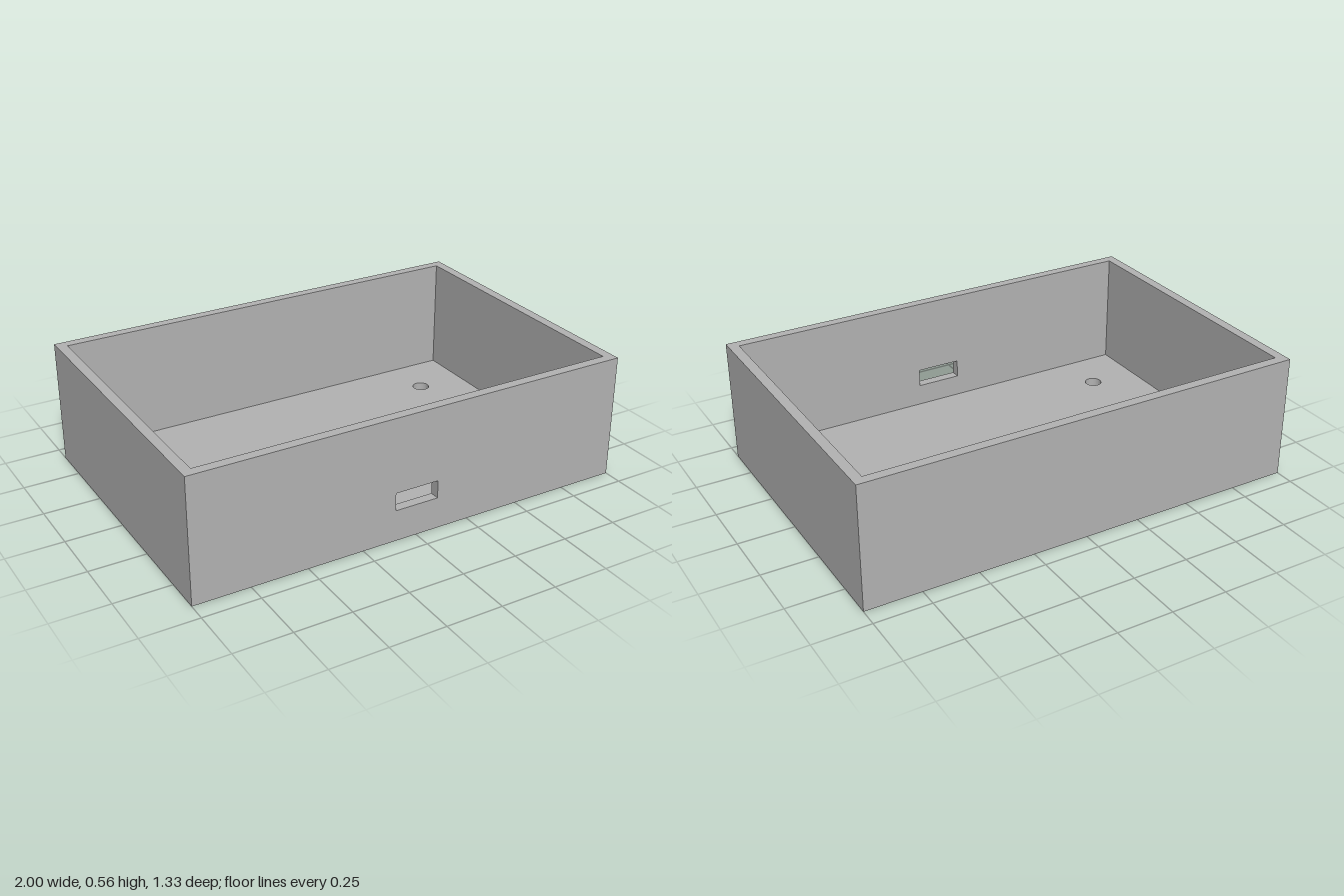
import * as THREE from 'three';

const W = 2, D = 1.333, H = 0.556, T = 0.044;

// Rectangle outline centred on cx, cy
function rect(Type, w, h, cx = 0, cy = 0) {
  const p = new Type();
  p.moveTo(cx - w / 2, cy - h / 2);
  p.lineTo(cx + w / 2, cy - h / 2);
  p.lineTo(cx + w / 2, cy + h / 2);
  p.lineTo(cx - w / 2, cy + h / 2);
  p.closePath();
  return p;
}

export function createModel() {
  const group = new THREE.Group();
  group.name = 'enclosureTray';
  const grey = new THREE.MeshStandardMaterial({ color: 0xb3b3b3 });
  grey.name = 'plain grey';

  function add(name, geometry, x, y, z) {
    const mesh = new THREE.Mesh(geometry, grey);
    mesh.name = name;
    mesh.position.set(x, y, z);
    group.add(mesh);
  }
  const plate = (shape) =>
    new THREE.ExtrudeGeometry(shape, { depth: T, bevelEnabled: false, curveSegments: 32 });

  // Floor with four screw holes
  const floor = rect(THREE.Shape, W, D);
  for (const x of [-0.733, 0.733]) {
    for (const z of [-0.4, 0.4]) {
      const hole = new THREE.Path();
      hole.absarc(x, z, 0.038, 0, Math.PI * 2, true);
      floor.holes.push(hole);
    }
  }
  add('floor', plate(floor).rotateX(-Math.PI / 2), 0, 0, 0);

  // Front wall with the connector slot, and the plain back wall
  const wallH = H - T, midY = (H + T) / 2;
  const front = rect(THREE.Shape, W, wallH, 0, midY);
  front.holes.push(rect(THREE.Path, 0.2, 0.08, 0, 0.181));
  add('frontWall', plate(front), 0, 0, D / 2 - T);
  add('backWall', new THREE.BoxGeometry(W, wallH, T), 0, midY, -D / 2 + T / 2);

  // Side walls
  for (const [name, s] of [['leftWall', 1], ['rightWall', -1]]) {
    add(name, new THREE.BoxGeometry(T, wallH, D - 2 * T), s * (W - T) / 2, midY, 0);
  }
  return group;
}
